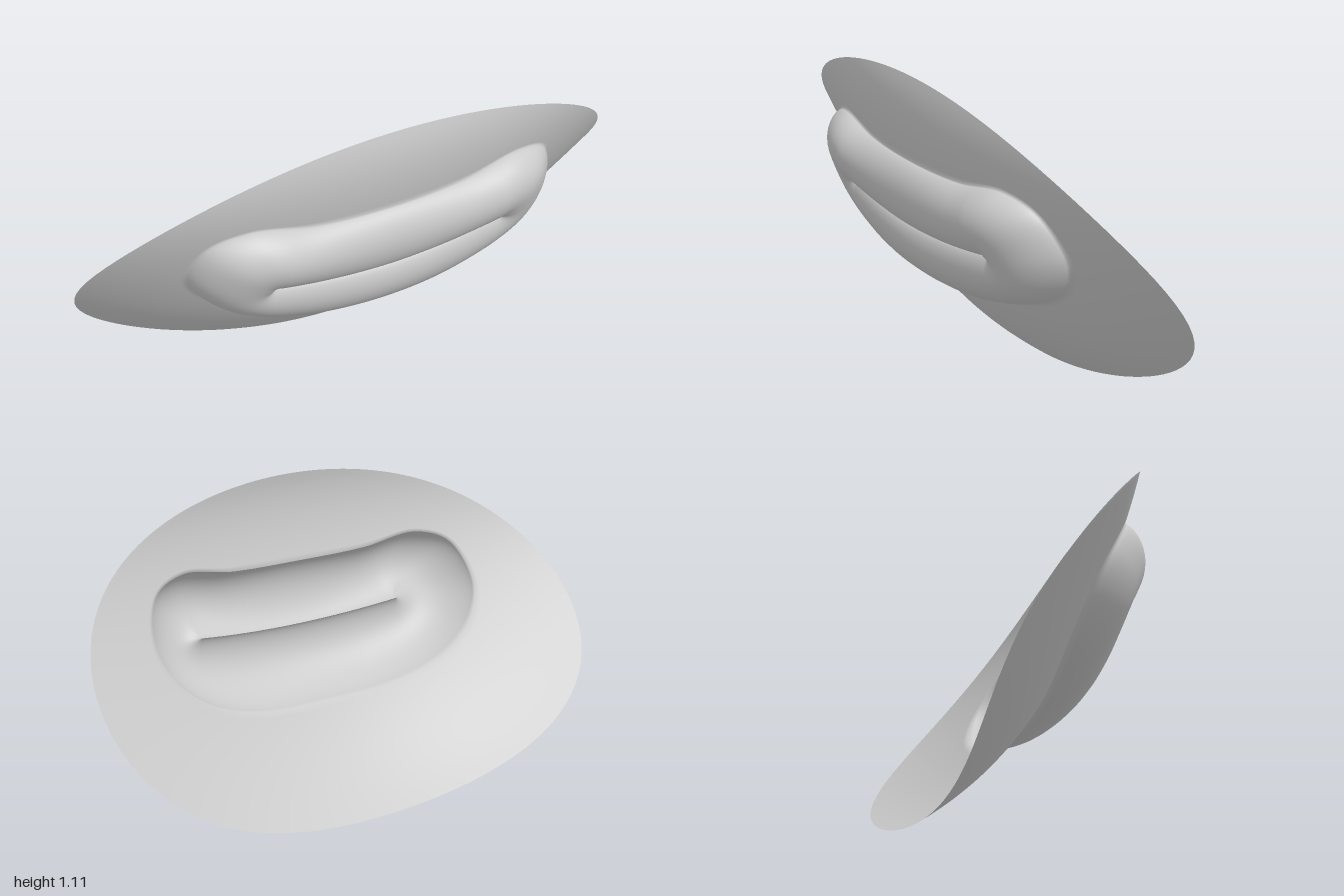
import * as THREE from 'three';

// Curved oval sheet: height c along the middle, falling away with x squared
function sheetZ(x, y) {
  const c = -0.26 + 1.273 * y - 1.2 * y ** 2 + 0.428 * y ** 3
    + 0.75 * y * (y - 0.2) * (y - 0.57) * (1.1 - y);
  return c - (0.52 - 0.62 * y + 0.27 * y * y) * x * x;
}

// Outer edge of the lips, clockwise from the top middle
function lipOutline() {
  const half = [[0, 0.8], [0.28, 0.808], [0.5, 0.838], [0.63, 0.79], [0.68, 0.65],
    [0.63, 0.53], [0.5, 0.425], [0.28, 0.355], [0, 0.338]];
  const mirrored = half.slice(1, -1).reverse().map(([x, y]) => [-x, y]);
  return new THREE.CatmullRomCurve3(
    [...half, ...mirrored].map(([x, y]) => new THREE.Vector3(x, y, 0)), true, 'centripetal');
}

export function createModel() {
  const group = new THREE.Group();
  const N = 144, LIP = 20, OUTER = 16;
  const outline = lipOutline().getSpacedPoints(N);
  const pos = [], index = [];
  const mix = THREE.MathUtils.lerp;

  // Rings run from the mouth crease over the lips, then out to the oval rim
  for (let i = 0; i <= LIP + OUTER; i++) {
    for (let j = 0; j < N; j++) {
      const b = outline[j];
      const angle = Math.atan2((b.y - 0.57) / 0.25, b.x / 0.68);
      let x, y, h = 0;
      if (i <= LIP) {
        // Rounded lip section
        const s = i / LIP, f = (1 - Math.cos(Math.PI * s)) / 2;
        const cx = THREE.MathUtils.clamp(b.x, -0.42, 0.42);
        const cy = 0.57 + 0.17 * cx * cx;
        x = mix(cx, b.x, f);
        y = mix(cy, b.y, f);
        const up = THREE.MathUtils.smoothstep(Math.sin(angle), -0.6, 0.6);
        const swell = mix(0.1, 0.056 + 0.2 * Math.min(x * x, 0.16), up);
        h = 0.08 * (1 - s) + swell * Math.sin(Math.PI * s ** mix(1.3, 1, up));
        h *= 1 - 0.6 * up * s ** 4;
      } else {
        // Surrounding sheet
        const t = (i - LIP) / OUTER;
        x = mix(b.x, Math.cos(angle), t);
        y = mix(b.y, 0.555 + 0.555 * Math.sin(angle), t);
      }
      pos.push(x, y, sheetZ(x, y) + h);
      if (i < LIP + OUTER) {
        const a = i * N + j, n = i * N + (j + 1) % N;
        index.push(a, n, a + N, n, n + N, a + N);
      }
    }
  }

  const geometry = new THREE.BufferGeometry();
  geometry.setAttribute('position', new THREE.Float32BufferAttribute(pos, 3));
  geometry.setIndex(index);
  geometry.computeVertexNormals();
  const mesh = new THREE.Mesh(geometry,
    new THREE.MeshStandardMaterial({ color: 0xcccccc, side: THREE.DoubleSide }));
  mesh.name = 'mouthSheetWithLips';
  group.add(mesh);
  return group;
}
